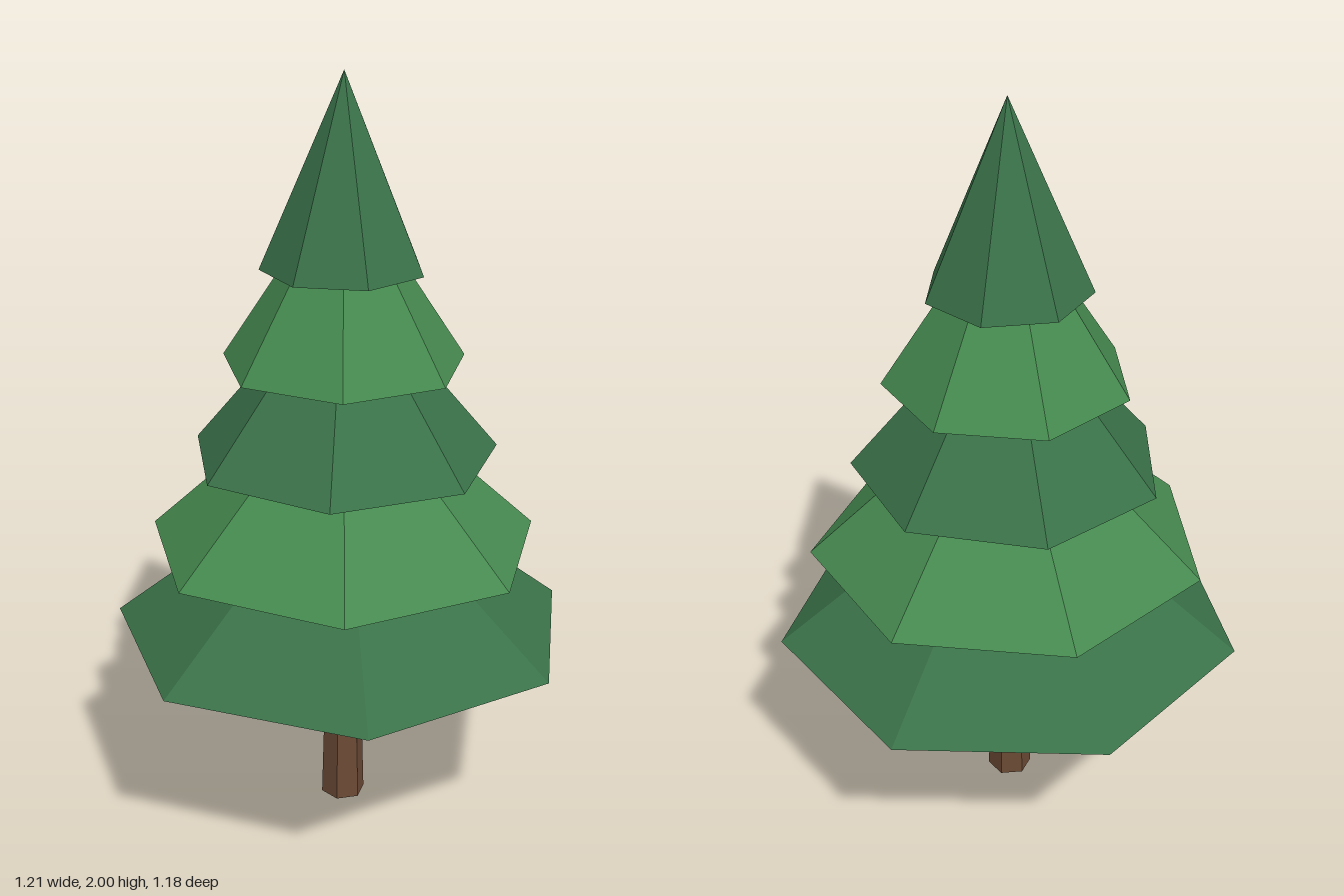
import * as THREE from 'three';

export function createModel() {
  const tree = new THREE.Group();
  tree.name = 'pineTree';

  const material = (name, color) => {
    const m = new THREE.MeshStandardMaterial({ color, flatShading: true });
    m.name = name;
    return m;
  };
  const darkGreen = material('dark green', 0x3a7249);
  const lightGreen = material('light green', 0x468a50);
  const bark = material('bark brown', 0x6b4a35);

  const axisZ = -0.031; // trunk axis, so the seven-sided base is centred

  // Tapered six-sided trunk, ending inside the lowest tier
  const trunkHeight = 0.6;
  const trunk = new THREE.Mesh(
    new THREE.CylinderGeometry(0.043, 0.06, trunkHeight, 6, 1, false, Math.PI / 6), bark);
  trunk.name = 'trunk';
  trunk.position.set(0, trunkHeight / 2, axisZ);
  tree.add(trunk);

  // Overlapping seven-sided cones, each with its own twist: [radius, twist]
  const tiers = [[0.62, 0], [0.525, -0.091], [0.408, -0.177], [0.32, -0.103], [0.213, 0.184]];
  const tierHeight = 0.49;
  const firstBase = 0.523;
  const spacing = (2 - tierHeight - firstBase) / (tiers.length - 1);
  tiers.forEach(([radius, twist], i) => {
    const tier = new THREE.Mesh(
      new THREE.ConeGeometry(radius, tierHeight, 7, 1, false, twist),
      i % 2 ? lightGreen : darkGreen);
    tier.name = `foliageTier${i + 1}`;
    tier.position.set(0, firstBase + i * spacing + tierHeight / 2, axisZ);
    tree.add(tier);
  });

  return tree;
}
